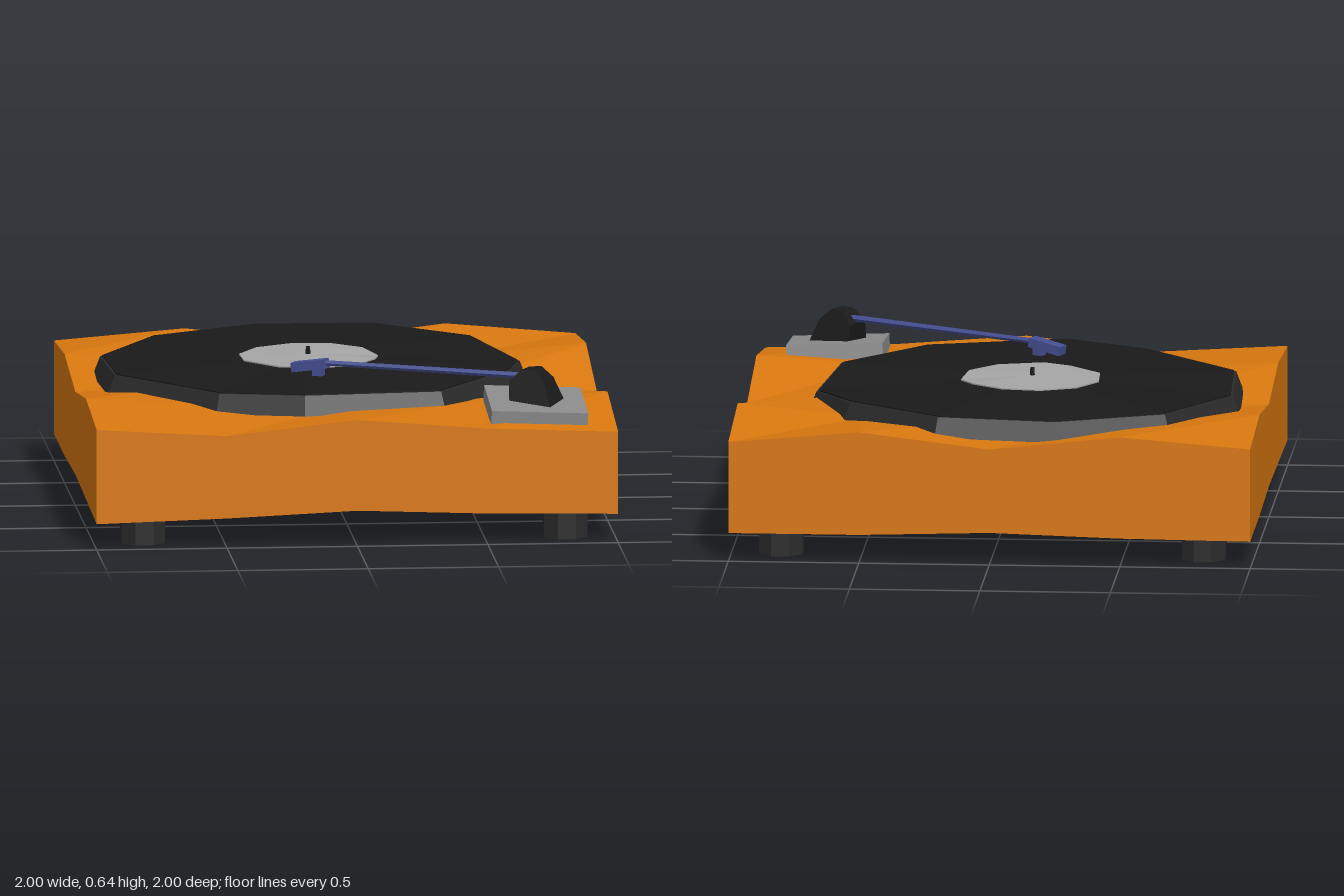
import * as THREE from 'three';

const mat = (color) => new THREE.MeshStandardMaterial({ color, flatShading: true });
const ORANGE = mat(0xd9780f), DARK = mat(0x2b2b2b), BLACK = mat(0x1a1a1a);
const PAD = mat(0x8c8c8c), LABEL = mat(0xa6a6a6), BLUE = mat(0x454f92);

function add(parent, name, geometry, material, x = 0, y = 0, z = 0) {
  const mesh = new THREE.Mesh(geometry, material);
  mesh.name = name;
  mesh.position.set(x, y, z);
  parent.add(mesh);
  return mesh;
}

// Warped plinth: heights at x = -1..1 (columns) for z = -1..1 (rows)
const TOP = [
  [0.465, 0.505, 0.45, 0.51, 0.465],
  [0.5, 0.47, 0.47, 0.47, 0.515],
  [0.44, 0.46, 0.47, 0.46, 0.415],
  [0.5, 0.47, 0.46, 0.47, 0.5],
  [0.465, 0.435, 0.49, 0.45, 0.43],
];
const BOTTOM = [
  [0.105, 0.11, 0.125, 0.11, 0.11],
  [0.105, 0.105, 0.11, 0.11, 0.125],
  [0.12, 0.11, 0.105, 0.115, 0.143],
  [0.11, 0.11, 0.115, 0.115, 0.13],
  [0.1, 0.115, 0.138, 0.12, 0.112],
];

function plinthGeometry() {
  const geo = new THREE.BoxGeometry(2, 2, 2, 4, 1, 4);
  const p = geo.attributes.position;
  for (let i = 0; i < p.count; i++) {
    const col = Math.round((p.getX(i) + 1) * 2), row = Math.round((p.getZ(i) + 1) * 2);
    p.setY(i, (p.getY(i) > 0 ? TOP : BOTTOM)[row][col]);
  }
  geo.computeVertexNormals();
  return geo;
}

// Irregular platter outline as [x, z, rim height], clockwise seen from above
const CX = -0.1, CZ = -0.09, CY = 0.553;
const RIM = [
  [-0.25, -0.91, 0.54], [0.22, -0.87, 0.545], [0.59, -0.57, 0.54], [0.75, -0.19, 0.505],
  [0.68, 0.21, 0.54], [0.37, 0.63, 0.53], [-0.18, 0.74, 0.54], [-0.51, 0.61, 0.53],
  [-0.89, 0.18, 0.535], [-0.91, -0.29, 0.53], [-0.67, -0.7, 0.535],
];

// Faceted disc: bottom ring, top ring and a fan meeting at the centre
function discGeometry(bottomScale, topScale, thickness, lift) {
  const ring = (s, dy) => RIM.map(([x, z, y]) => [
    CX + (x - CX) * s, CY + (y - CY) * Math.min(s, 1) + dy, CZ + (z - CZ) * s,
  ]);
  const b = ring(bottomScale, lift - thickness), t = ring(topScale, lift);
  const centreTop = [CX, CY + lift, CZ], centreBottom = [CX, CY + lift - thickness, CZ];
  const verts = [];
  for (let i = 0; i < RIM.length; i++) {
    const j = (i + 1) % RIM.length;
    verts.push(b[j], b[i], t[i], b[j], t[i], t[j]);
    verts.push(centreTop, t[j], t[i], centreBottom, b[i], b[j]);
  }
  const geo = new THREE.BufferGeometry();
  geo.setAttribute('position', new THREE.Float32BufferAttribute(verts.flat(), 3));
  geo.computeVertexNormals();
  return geo;
}

// Pivot housing: side profile extruded, narrowing towards the top
function pivotGeometry() {
  const profile = [[-0.085, 0.5], [0.085, 0.5], [0.095, 0.59], [0.05, 0.635], [0, 0.64], [-0.045, 0.6]];
  const shape = new THREE.Shape(profile.map(([x, y]) => new THREE.Vector2(x, y)));
  const geo = new THREE.ExtrudeGeometry(shape, { depth: 0.15, bevelEnabled: false });
  geo.translate(0, 0, -0.075);
  const p = geo.attributes.position;
  for (let i = 0; i < p.count; i++) p.setZ(i, p.getZ(i) * (1 - (p.getY(i) - 0.5) * 3.2));
  geo.computeVertexNormals();
  return geo;
}

export function createModel() {
  const model = new THREE.Group();
  model.name = 'recordPlayer';

  add(model, 'plinth', plinthGeometry(), ORANGE);

  // Feet
  for (const x of [-0.81, 0.81]) {
    for (const z of [-0.81, 0.83]) {
      const foot = new THREE.CylinderGeometry(0.09, 0.09, 0.14, 8);
      add(model, 'foot', foot.rotateY(Math.PI / 8), DARK, x, 0.07, z);
    }
  }

  // Platter, record, label and spindle
  add(model, 'platter', discGeometry(1, 0.965, 0.075, -0.004), DARK);
  add(model, 'record', discGeometry(0.955, 0.955, 0.012, 0.001), BLACK);
  add(model, 'label', discGeometry(0.32, 0.32, 0.01, 0.006), LABEL);
  add(model, 'spindle', new THREE.CylinderGeometry(0.009, 0.011, 0.05, 6), BLACK, CX, 0.563, CZ);

  // Tilted mounting pad
  const pad = add(model, 'armPad', new THREE.BoxGeometry(0.37, 0.06, 0.37), PAD, 0.705, 0.487, 0.745);
  pad.rotation.set(0.1, 0, -0.04);

  // Tone arm, with local +x pointing from the pivot to the cartridge
  const arm = new THREE.Group();
  arm.name = 'toneArm';
  arm.position.set(0.71, 0, 0.755);
  arm.rotation.y = Math.PI - 0.474;
  model.add(arm);
  add(arm, 'armPivot', pivotGeometry(), BLACK);
  const tube = new THREE.CylinderGeometry(0.011, 0.013, 0.88, 6).rotateZ(-Math.PI / 2);
  add(arm, 'armTube', tube, BLUE, 0.48, 0.603, 0).rotation.z = -0.006;
  const head = add(arm, 'headShell', new THREE.BoxGeometry(0.14, 0.036, 0.05), BLUE, 0.94, 0.588, 0);
  head.rotation.z = -0.16;
  add(arm, 'cartridge', new THREE.BoxGeometry(0.04, 0.04, 0.035), BLUE, 0.905, 0.57, 0);

  return model;
}
